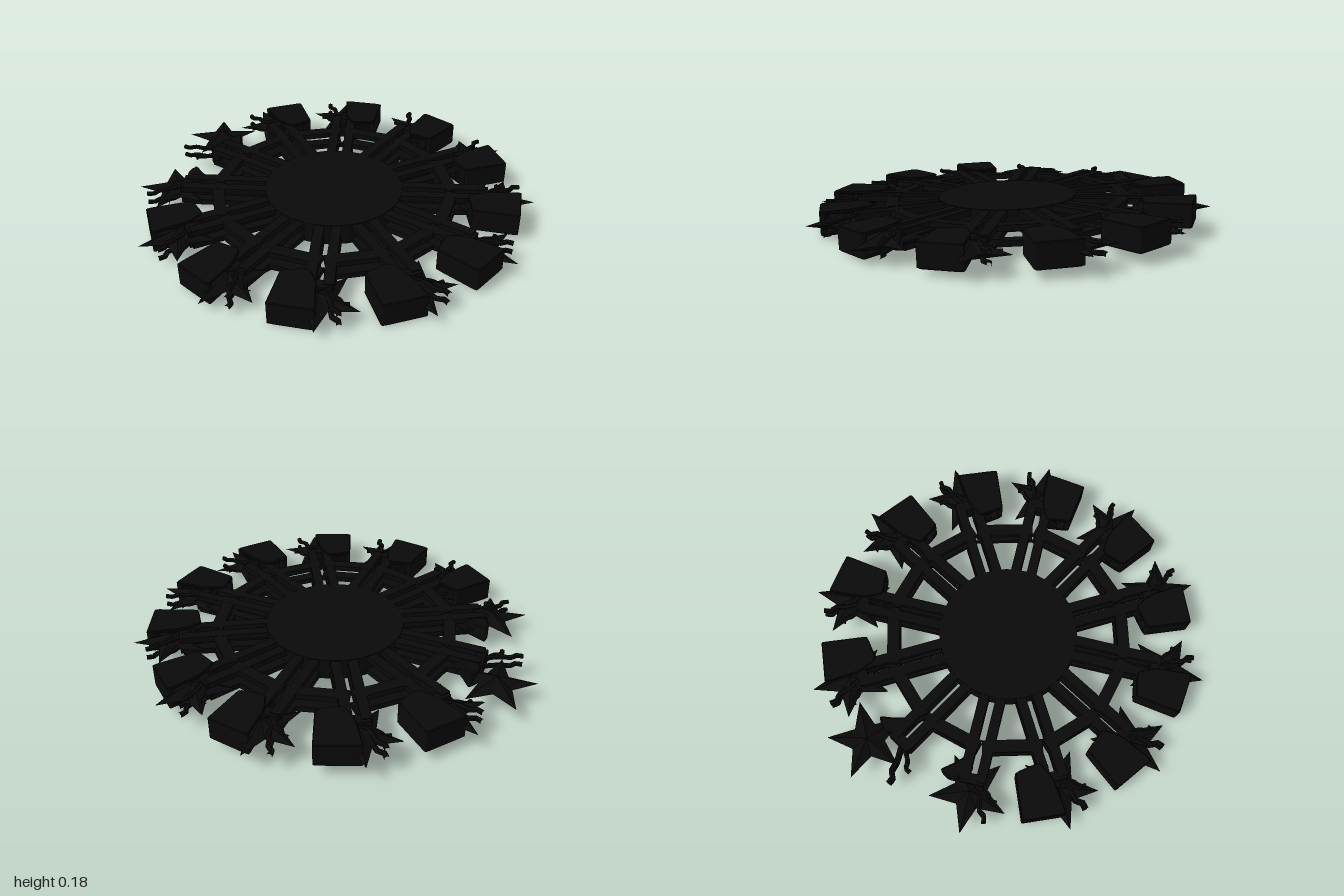
import * as THREE from 'three';

const dark = new THREE.MeshStandardMaterial({ color: 0x0a0a0a, flatShading: true });
const COUNT = 12, LAYER = 0.036, BAR_H = 0.03;

function add(parent, name, geometry, x = 0, y = 0, z = 0) {
  const mesh = new THREE.Mesh(geometry, dark);
  mesh.name = name;
  mesh.position.set(x, y, z);
  parent.add(mesh);
  return mesh;
}

// Plate drawn in (radial, sideways) coordinates, centred on the wheel plane
function plate(shape, height, bevel = 0) {
  const g = new THREE.ExtrudeGeometry(shape, {
    depth: height - 2 * bevel, bevelEnabled: bevel > 0, bevelSize: bevel,
    bevelThickness: bevel, bevelOffset: -bevel, bevelSegments: 1, curveSegments: 5,
  });
  g.translate(0, 0, -(height - 2 * bevel) / 2);
  return g.rotateX(Math.PI / 2);
}

// Closed polygon with rounded corners
function roundedShape(pts, r) {
  const s = new THREE.Shape(), v = pts.map(p => new THREE.Vector2(...p));
  v.forEach((p, i) => {
    const before = v[(i + v.length - 1) % v.length], after = v[(i + 1) % v.length];
    const a = before.clone().sub(p).setLength(r).add(p);
    const b = after.clone().sub(p).setLength(r).add(p);
    if (i) s.lineTo(a.x, a.y); else s.moveTo(a.x, a.y);
    s.quadraticCurveTo(p.x, p.y, b.x, b.y);
  });
  s.closePath();
  return s;
}

// Five-pointed faceted star, thickest in the middle
function starGeometry(outer, inner, half) {
  const g = new THREE.SphereGeometry(1, 10, 2), p = g.attributes.position;
  for (let i = 0; i < p.count; i++) {
    if (Math.abs(p.getY(i)) > 0.5) { p.setXYZ(i, 0, Math.sign(p.getY(i)) * half, 0); continue; }
    const a = Math.atan2(p.getZ(i), p.getX(i));
    const r = Math.round(a / (Math.PI / 5)) % 2 === 0 ? outer : inner;
    p.setXYZ(i, r * Math.cos(a), 0, r * Math.sin(a));
  }
  g.computeVertexNormals();
  return g;
}

const tube = (pts, r) => new THREE.TubeGeometry(
  new THREE.CatmullRomCurve3(pts.map(p => new THREE.Vector3(...p))), 12, r, 6);

// Cabin: two side panels joined by a floor, a back and a bench
const cabinSide = plate(roundedShape([[0.96, 0], [0.93, 0.215], [0.7, 0.18], [0.685, 0.05], [0.78, 0.01]], 0.025), 0.018, 0.004);
const cabinFloor = plate(roundedShape([[0.96, 0], [0.93, 0.215], [0.9, 0.21], [0.93, 0]], 0.01), 0.11);
const cabinBack = plate(roundedShape([[0.93, 0.215], [0.7, 0.18], [0.705, 0.15], [0.925, 0.185]], 0.01), 0.11);
const bench = plate(roundedShape([[0.85, 0.05], [0.82, 0.19], [0.79, 0.185], [0.82, 0.05]], 0.01), 0.11);
// Curved bracket that carries the cabin
const bracket = plate(roundedShape([[0.64, 0.03], [0.68, 0.07], [0.71, 0.1], [0.76, 0.165], [0.79, 0.12], [0.79, 0.07], [0.73, 0.04], [0.72, 0.01]], 0.014), 0.09, 0.008);
const starShape = starGeometry(0.2, 0.085, 0.045);

function buildCabin() {
  const cabin = new THREE.Group();
  cabin.name = 'cabin';
  for (const s of [-1, 1]) add(cabin, 'cabinSide', cabinSide, 0, s * 0.051, 0);
  add(cabin, 'cabinFloor', cabinFloor);
  add(cabin, 'cabinBack', cabinBack);
  add(cabin, 'bench', bench);
  return cabin;
}

function buildSpoke(i) {
  const arm = new THREE.Group();
  arm.name = 'spokeAssembly';
  // Twin bars in an upper and a lower layer
  for (const y of [-LAYER, LAYER]) {
    for (const z of [-0.042, 0.042]) {
      add(arm, 'spokeBar', new THREE.BoxGeometry(0.49, BAR_H, 0.05), 0.535, y, z);
    }
  }
  add(arm, 'spokeEnd', new THREE.BoxGeometry(0.05, 0.09, 0.12), 0.77, 0, 0);
  add(arm, 'bracket', bracket);

  // One spoke has its star knocked sideways, and two carry no cabin
  const bent = i === 4;
  const star = add(arm, 'star', starShape, bent ? 0.88 : 0.83, 0, bent ? 0.13 : 0);
  if (bent) star.rotation.y = -0.87;
  if (i !== 4 && i !== 5) arm.add(buildCabin());

  // Curled hooks on the open side
  for (const y of [-0.025, 0.025]) {
    add(arm, 'curledHook', tube([[0.78, y, -0.01], [0.86, y, -0.055], [0.91, y, -0.07], [0.925, y, -0.095], [0.96, y, -0.1]], 0.013));
  }
  add(arm, 'shortHook', tube([[0.78, 0, -0.02], [0.82, 0, -0.09], [0.85, 0, -0.11], [0.85, 0, -0.14]], 0.013));
  return arm;
}

export function createModel() {
  const model = new THREE.Group();
  model.name = 'bigWheel';
  const wheel = new THREE.Group();
  wheel.name = 'wheel';
  model.add(wheel);

  add(wheel, 'hub', new THREE.CylinderGeometry(0.355, 0.355, 0.11, 40));

  for (let i = 0; i < COUNT; i++) {
    const angle = (i + 0.5) * Math.PI * 2 / COUNT;
    const arm = buildSpoke(i);
    arm.rotation.y = angle;
    wheel.add(arm);

    // Straight ring beams between neighbouring spokes
    const side = new THREE.Group();
    side.name = 'ringSection';
    side.rotation.y = i * Math.PI * 2 / COUNT;
    for (const y of [-LAYER, LAYER]) {
      add(side, 'ringBeam', new THREE.BoxGeometry(0.062, BAR_H * 0.95, 0.3), 0.59, y, 0);
    }
    wheel.add(side);
  }

  // The wheel lies almost flat, with a slight tilt
  wheel.rotation.set(0.03, 0, 0.0125);
  wheel.position.y = 0.094;
  return model;
}
